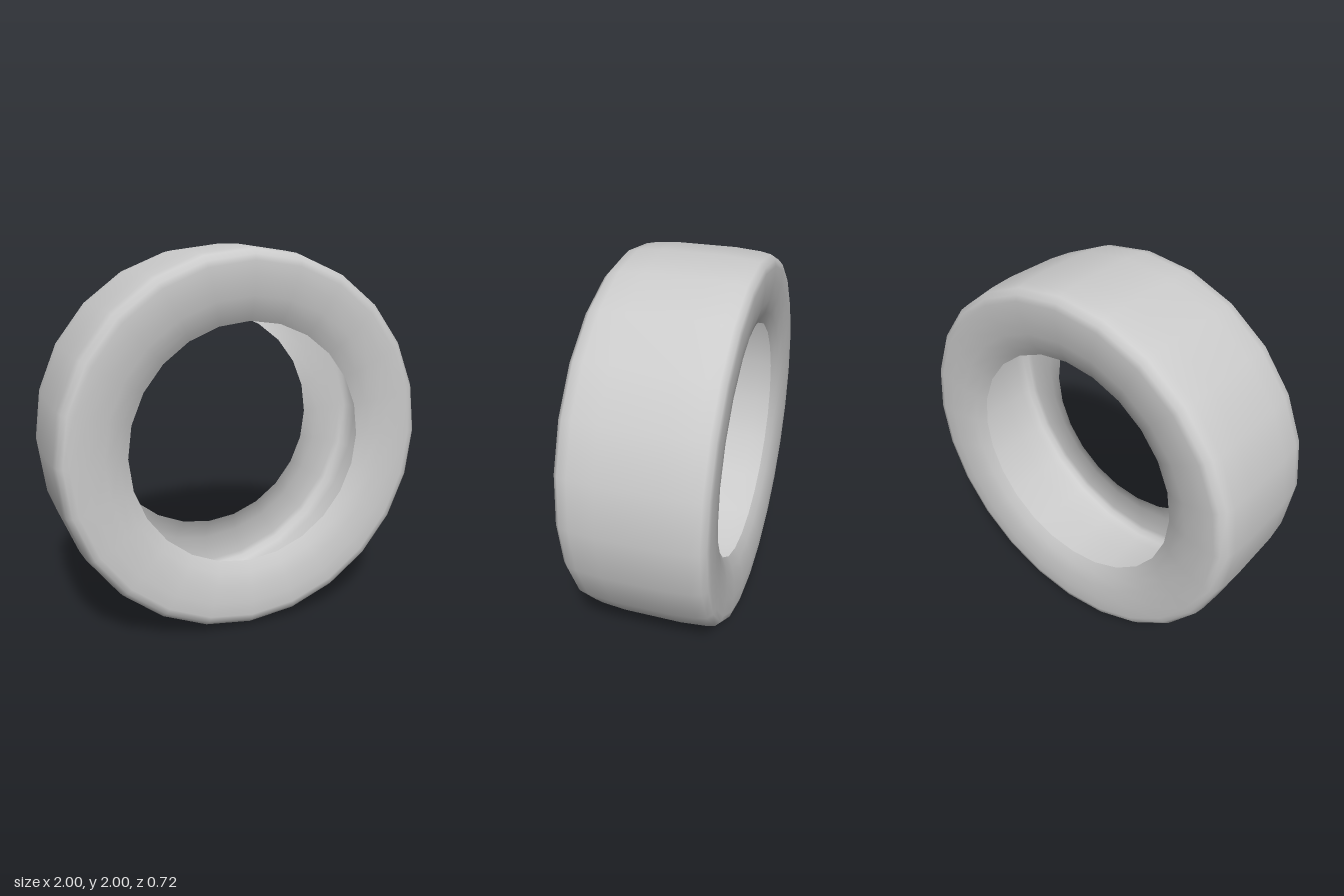
import * as THREE from 'three';

// Half cross-section of the tyre as [radius, width offset], from tread centre to bead lip
const HALF_PROFILE = [
  [1.0, 0.15], [0.99, 0.28], [0.98, 0.33], [0.955, 0.355], [0.925, 0.362],
  [0.85, 0.362], [0.76, 0.35], [0.69, 0.33], [0.635, 0.3],
];

export function createModel() {
  const group = new THREE.Group();
  group.name = 'tyre';

  // Hollow shell, open at the hub: lip, sidewall, tread, sidewall, lip
  const near = HALF_PROFILE.map(([r, w]) => new THREE.Vector2(r, w));
  const far = HALF_PROFILE.map(([r, w]) => new THREE.Vector2(r, -w)).reverse();
  const geometry = new THREE.LatheGeometry([...far, ...near], 24);
  geometry.rotateX(Math.PI / 2);

  const casing = new THREE.Mesh(
    geometry,
    new THREE.MeshStandardMaterial({ color: 0xcccccc, side: THREE.DoubleSide })
  );
  casing.name = 'tyreCasing';
  casing.position.y = 1;
  group.add(casing);
  return group;
}
